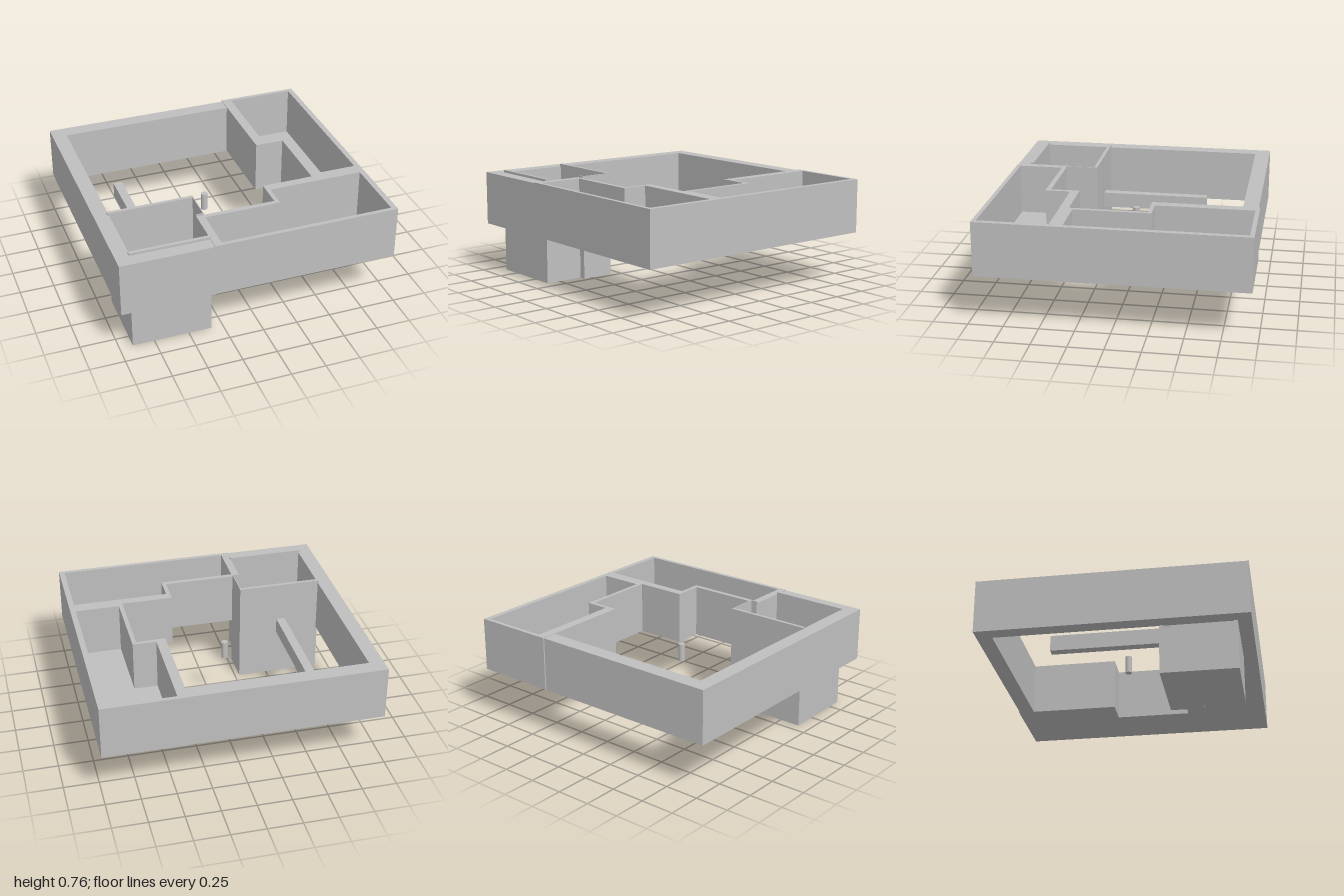
import * as THREE from 'three';

export function createModel() {
  const model = new THREE.Group();
  const plaster = new THREE.MeshStandardMaterial({ color: 0xbfbfbf });
  plaster.name = 'plaster grey';

  const add = (name, geometry) => {
    const mesh = new THREE.Mesh(geometry, plaster);
    mesh.name = name;
    model.add(mesh);
    return mesh;
  };

  // Box given by its limits on each axis
  const block = (name, [x0, x1], [y0, y1], [z0, z1]) =>
    add(name, new THREE.BoxGeometry(x1 - x0, y1 - y0, z1 - z0))
      .position.set((x0 + x1) / 2, (y0 + y1) / 2, (z0 + z1) / 2);

  // Floor plan in (x, z), raised from y0 to y1, with optional room openings
  const plan = (name, outline, y0, y1, rooms = []) => {
    const toPoints = (list) => list.map(([x, z]) => new THREE.Vector2(x, z));
    const shape = new THREE.Shape(toPoints(outline));
    for (const room of rooms) shape.holes.push(new THREE.Path(toPoints(room)));
    const geometry = new THREE.ExtrudeGeometry(shape, { depth: y1 - y0, bevelEnabled: false });
    geometry.rotateX(Math.PI / 2);
    geometry.translate(0, y1, 0);
    add(name, geometry);
  };

  // Thick walls on the left and back, returning along the front
  plan('courtyardWall', [
    [-1, -0.94], [0.4, -0.94], [0.4, -0.83], [-0.895, -0.83],
    [-0.895, 0.84], [-0.34, 0.84], [-0.34, 0.95], [-1, 0.95],
  ], 0.355, 0.747);

  // Stepped wing holding two sunken rooms
  const wing = [
    [0.4, -0.95], [1, -0.95], [1, 0.95], [-0.34, 0.95], [-0.34, 0.565],
    [0.235, 0.565], [0.235, 0.355], [0.61, 0.355], [0.61, -0.195], [0.4, -0.195],
  ];
  const backRoom = [
    [0.47, -0.92], [0.96, -0.92], [0.96, 0.325], [0.64, 0.325], [0.64, -0.225], [0.47, -0.225],
  ];
  const frontRoom = [
    [-0.285, 0.6], [0.265, 0.6], [0.265, 0.42], [0.96, 0.42], [0.96, 0.92], [-0.285, 0.92],
  ];
  plan('wingFloor', wing, 0.36, 0.38);
  plan('wingWalls', wing, 0.38, 0.752, [backRoom, frontRoom]);

  // Lower block with its tall end walls and stepped corner
  plan('lowerBlock', [
    [-0.905, 0.325], [-0.285, 0.325], [-0.285, 0.565],
    [-0.335, 0.565], [-0.335, 0.855], [-0.905, 0.855],
  ], 0, 0.33);
  block('shaftFrontWall', [-0.905, -0.337], [0.33, 0.765], [0.83, 0.855]);
  block('shaftBackWall', [-0.905, -0.285], [0.33, 0.765], [0.325, 0.35]);
  block('shaftSideWall', [-0.291, -0.285], [0.33, 0.765], [0.35, 0.568]);
  block('shaftStepWall', [-0.34, -0.291], [0.33, 0.765], [0.562, 0.568]);

  // Beam reaching into the courtyard and a small post at its middle
  block('beam', [-0.64, -0.575], [0.355, 0.47], [-0.48, 0.325]);
  add('post', new THREE.CylinderGeometry(0.024, 0.024, 0.13, 24)).position.set(-0.08, 0.475, -0.01);

  return model;
}
